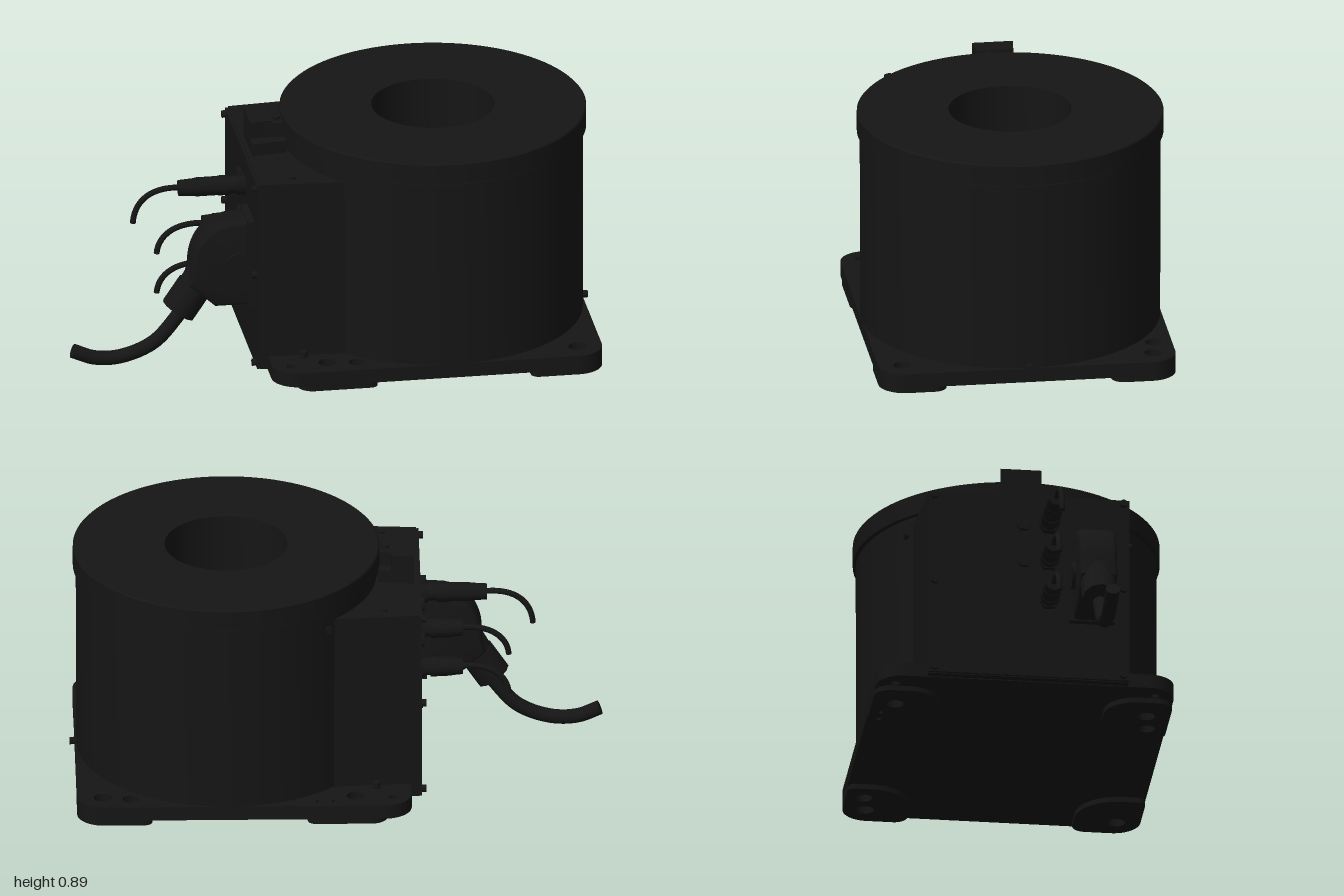
import * as THREE from 'three';
import { toCreasedNormals } from 'three/addons/utils/BufferGeometryUtils.js';

const V3 = (x, y, z) => new THREE.Vector3(x, y, z);

export function createModel() {
  const root = new THREE.Group();
  const mat = new THREE.MeshStandardMaterial({ color: 0x151515 });

  function add(name, geo, x = 0, y = 0, z = 0, parent = root) {
    const m = new THREE.Mesh(geo, mat);
    m.name = name;
    m.position.set(x, y, z);
    parent.add(m);
    return m;
  }
  // cylinder between two points
  function rod(name, a, b, r0, r1 = r0, sides = 24, parent = root) {
    const d = b.clone().sub(a);
    const m = add(name, new THREE.CylinderGeometry(r1, r0, d.length(), sides), 0, 0, 0, parent);
    m.position.copy(a).addScaledVector(d, 0.5);
    m.quaternion.setFromUnitVectors(V3(0, 1, 0), d.normalize());
    return m;
  }
  // plan outline (x, z) extruded from y0 up to y1
  function slab(name, shape, y0, y1) {
    const g = new THREE.ExtrudeGeometry(shape, { depth: y1 - y0, bevelEnabled: false, curveSegments: 16 });
    return add(name, toCreasedNormals(g.rotateX(Math.PI / 2), 0.6), 0, y1, 0);
  }
  const polygon = pts => new THREE.Shape(pts.map(p => new THREE.Vector2(...p)));
  // rectangle with radii for the corners (x0,z0) (x1,z0) (x1,z1) (x0,z1)
  function roundRect(x0, z0, x1, z1, [a, b, c, d]) {
    const s = new THREE.Shape();
    s.moveTo(x0 + a, z0);
    s.lineTo(x1 - b, z0);
    s.absarc(x1 - b, z0 + b, b, -Math.PI / 2, 0);
    s.lineTo(x1, z1 - c);
    s.absarc(x1 - c, z1 - c, c, 0, Math.PI / 2);
    s.lineTo(x0 + d, z1);
    s.absarc(x0 + d, z1 - d, d, Math.PI / 2, Math.PI);
    s.lineTo(x0, z0 + a);
    s.absarc(x0 + a, z0 + a, a, Math.PI, Math.PI * 1.5);
    return s;
  }

  // base plate with mounting holes, and four corner feet sharing those holes
  const holes = [
    [-0.2, -0.49, 0.017], [-0.06, -0.475, 0.033], [0.02, -0.52, 0.01], [0.08, -0.52, 0.01],
    [0.78, -0.49, 0.03], [0.885, -0.475, 0.033],
    [-0.2, 0.485, 0.017], [-0.06, 0.47, 0.033], [0.05, 0.485, 0.03], [0.885, 0.47, 0.033],
  ];
  function drill(shape, x0, x1, z0, z1) {
    for (const [x, z, r] of holes)
      if (x - r > x0 && x + r < x1 && z - r > z0 && z + r < z1)
        shape.holes.push(new THREE.Path().absarc(x, z, r, 0, Math.PI * 2, true));
    return shape;
  }
  slab('basePlate', drill(roundRect(-0.27, -0.56, 0.98, 0.56, [0.1, 0.1, 0.1, 0.1]), -1, 1, -1, 1), 0.02, 0.075);
  for (const [x0, x1, outer, inner] of [[-0.18, 0.12, 0.06, 0.12], [0.7, 0.98, 0.1, 0.16]]) {
    const left = x0 < 0;
    const back = left ? [outer, 0.03, inner, inner] : [0.03, outer, 0.05, inner];
    const front = [back[3], back[2], back[1], back[0]];
    slab('foot', drill(roundRect(x0, -0.56, x1, -0.31, back), x0, x1, -0.56, -0.31), 0, 0.02);
    slab('foot', drill(roundRect(x0, 0.31, x1, 0.56, front), x0, x1, 0.31, 0.56), 0, 0.02);
  }

  // round body, overhanging cap and deep central bore
  const profile = [
    [0, 0.03], [0.56, 0.03], [0.562, 0.805], [0.555, 0.805], [0.555, 0.812], [0.573, 0.812],
    [0.573, 0.89], [0.568, 0.895], [0.23, 0.895], [0.23, 0.1], [0, 0.1],
  ].map(p => new THREE.Vector2(...p));
  add('body', toCreasedNormals(new THREE.LatheGeometry(profile, 96), 0.5), 0.415, 0, 0);

  // connector box at the side, slightly tapering, with a cover panel
  slab('connectorBox', polygon([[-0.3, -0.375], [0.03, -0.398], [0.03, 0.398], [-0.3, 0.375]]), 0.023, 0.772);
  add('boxCover', new THREE.BoxGeometry(0.012, 0.74, 0.755), -0.304, 0.396, 0);
  for (const z of [-0.355, 0.355])
    for (const y of [0.045, 0.4, 0.75])
      rod('coverScrew', V3(-0.3, y, z), V3(-0.327, y, z), 0.014, 0.014, 12);
  for (const z of [-0.33, 0.33]) rod('topScrew', V3(-0.17, 0.765, z), V3(-0.17, 0.78, z), 0.012);

  // stop block on top of the box
  slab('stopBlock', polygon([[-0.285, -0.105], [-0.15, -0.085], [-0.15, 0.085], [-0.285, 0.105]]), 0.76, 0.82);
  slab('stopTower', polygon([[-0.285, -0.105], [-0.2, -0.095], [-0.2, 0.04], [-0.285, 0.05]]), 0.81, 0.885);
  slab('stopFinger', polygon([[-0.23, -0.045], [-0.15, -0.045], [-0.15, 0.045], [-0.23, 0.045]]), 0.81, 0.875);
  rod('stopScrew', V3(-0.18, 0.87, 0), V3(-0.18, 0.885, 0), 0.014);

  // small body screws
  rod('groundScrew', V3(0.96, 0.08, 0), V3(1, 0.08, 0), 0.014, 0.014, 12);
  for (const s of [-1, 1]) {
    rod('bodyScrew', V3(0.045, 0.74, 0.4 * s), V3(0.038, 0.74, 0.43 * s), 0.014, 0.014, 12);
    rod('plateScrew', V3(-0.14, 0.07, 0.41 * s), V3(-0.14, 0.1, 0.41 * s), 0.014, 0.014, 12);
  }

  // three small plugs with thin drooping cables
  for (const [y, end, drop] of [[0.65, -0.56, 0.13], [0.5, -0.47, 0.11], [0.34, -0.47, 0.11]]) {
    const plug = new THREE.Group();
    plug.name = 'smallPlug';
    plug.position.set(0, y, 0.075);
    root.add(plug);
    const len = -0.31 - end;
    const at = t => V3(-0.31 - len * t, 0, 0);
    rod('plugNut', at(-0.04), at(0.12), 0.04, 0.04, 6, plug);
    rod('plugSocket', at(0.1), at(0.42), 0.033, 0.033, 24, plug);
    rod('plugCollar', at(0.25), at(0.4), 0.038, 0.038, 24, plug);
    rod('plugGrip', at(0.4), at(0.75), 0.036, 0.036, 12, plug);
    rod('plugTail', at(0.73), at(1), 0.034, 0.03, 24, plug);
    const path = new THREE.CubicBezierCurve3(
      V3(end + 0.02, 0, 0), V3(end - 0.09, 0.015, 0), V3(end - 0.165, -0.03, 0), V3(end - 0.172, -drop, 0));
    add('thinCable', new THREE.TubeGeometry(path, 20, 0.011, 10), 0, 0, 0, plug);
    rod('thinCableEnd', path.getPoint(0.985), path.getPoint(1), 0.011, 0.011, 10, plug);
  }
  // blank covers beside the plugs
  for (const y of [0.65, 0.5]) rod('blankCap', V3(-0.3, y, -0.02), V3(-0.325, y, -0.02), 0.03, 0.03, 6);

  // large elbow plug: flange, rounded hood, angled gland and thick cable
  const elbow = new THREE.Group();
  elbow.name = 'elbowPlug';
  elbow.position.z = 0.235;
  root.add(elbow);
  add('elbowFlange', new THREE.BoxGeometry(0.03, 0.35, 0.17), -0.322, 0.425, 0, elbow);
  const hood = new THREE.Shape();
  hood.moveTo(-0.33, 0.27);
  hood.lineTo(-0.33, 0.58);
  hood.lineTo(-0.4, 0.575);
  hood.bezierCurveTo(-0.49, 0.56, -0.53, 0.48, -0.53, 0.4);
  hood.lineTo(-0.54, 0.35);
  hood.lineTo(-0.45, 0.27);
  const hoodGeo = new THREE.ExtrudeGeometry(hood, {
    depth: 0.1, bevelThickness: 0.02, bevelSize: 0.015, bevelSegments: 3, curveSegments: 12,
  });
  add('elbowHood', toCreasedNormals(hoodGeo, 0.6), 0, 0, -0.05, elbow);
  for (const s of [-1, 1]) rod('hoodPivot', V3(-0.37, 0.42, 0.06 * s), V3(-0.37, 0.42, 0.083 * s), 0.05, 0.05, 24, elbow);
  rod('glandNeck', V3(-0.47, 0.4, 0), V3(-0.535, 0.3, 0), 0.068, 0.062, 24, elbow);
  rod('glandNut', V3(-0.525, 0.318, 0), V3(-0.587, 0.225, 0), 0.068, 0.068, 12, elbow);
  const cable = new THREE.CatmullRomCurve3([
    V3(-0.53, 0.29, 0), V3(-0.59, 0.2, 0), V3(-0.68, 0.1, 0), V3(-0.8, 0.052, 0), V3(-0.9, 0.052, 0), V3(-0.985, 0.085, 0)]);
  add('thickCable', new THREE.TubeGeometry(cable, 40, 0.027, 16), 0, 0, 0, elbow);
  rod('thickCableEnd', cable.getPoint(0.985), cable.getPoint(1), 0.027, 0.027, 16, elbow);

  return root;
}
